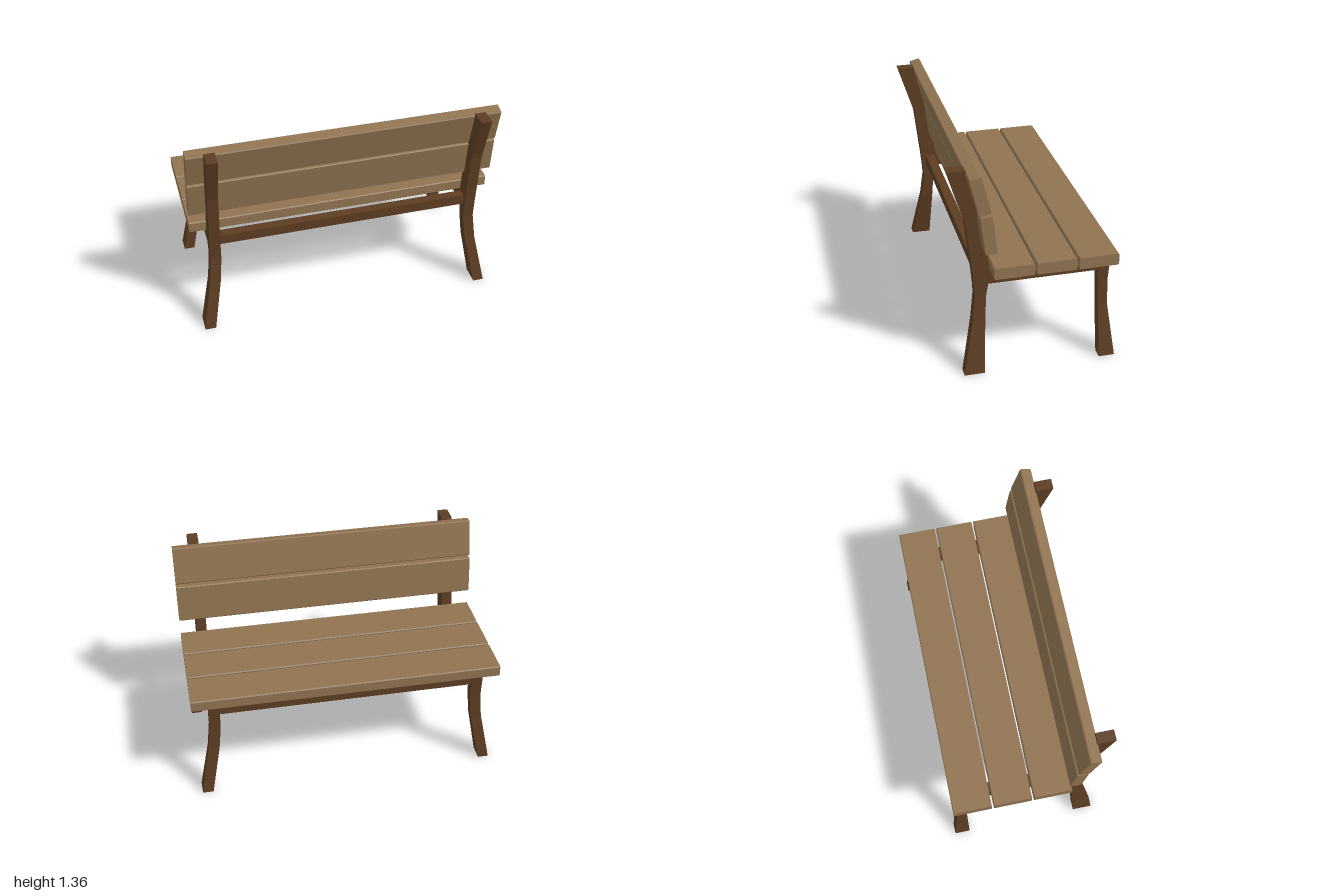
import * as THREE from 'three';

const darkWood = new THREE.MeshStandardMaterial({ color: 0x5c3d22, flatShading: true });
const lightWood = new THREE.MeshStandardMaterial({ color: 0x8f7350, flatShading: true });

// Leg thickness and sideways splay: [height, inner x]
const LEG_W = 0.07;
const splay = (y) => (y < 0.34 ? 0.84 + (0.34 - y) * 0.19 : y < 0.51 ? 0.823 + (0.51 - y) * 0.1 : 0.823);

// Rows of [y, zMin, zMax], from the foot upwards
const backLegRows = [
  [0, 0.322, 0.45], [0.34, 0.303, 0.382], [0.51, 0.293, 0.362],
  [0.59, 0.279, 0.367], [0.68, 0.27, 0.376], [1.02, 0.312, 0.415], [1.357, 0.409, 0.522],
];
const frontLegRows = [
  [0, -0.518, -0.417], [0.34, -0.478, -0.417], [0.51, -0.478, -0.417],
  [0.59, -0.484, -0.41], [0.676, -0.492, -0.41],
];

// Loft of rectangular cross-sections, closed at both ends
function legGeometry(rows, side) {
  const pos = [], index = [];
  for (const [y, z0, z1] of rows) {
    const a = side * splay(y), b = side * (splay(y) + LEG_W);
    const ring = [[a, z1], [b, z1], [b, z0], [a, z0]];
    if (side < 0) ring.reverse();
    for (const [x, z] of ring) pos.push(x, y, z);
  }
  for (let r = 0; r < rows.length - 1; r++) {
    for (let i = 0; i < 4; i++) {
      const a = r * 4 + i, b = r * 4 + (i + 1) % 4;
      index.push(a, b, b + 4, a, b + 4, a + 4);
    }
  }
  const t = (rows.length - 1) * 4;
  index.push(0, 2, 1, 0, 3, 2, t, t + 1, t + 2, t, t + 2, t + 3);
  const g = new THREE.BufferGeometry();
  g.setAttribute('position', new THREE.Float32BufferAttribute(pos, 3));
  g.setIndex(index);
  const flat = g.toNonIndexed();
  flat.computeVertexNormals();
  return flat;
}

// Plank running along x, with small chamfers on its long edges
function plankGeometry(width, thickness, length = 2, c = 0.006) {
  const w = width / 2, t = thickness / 2;
  const shape = new THREE.Shape([
    [-w + c, -t], [w - c, -t], [w, -t + c], [w, t - c],
    [w - c, t], [-w + c, t], [-w, t - c], [-w, -t + c],
  ].map(([x, y]) => new THREE.Vector2(x, y)));
  const g = new THREE.ExtrudeGeometry(shape, { depth: length, bevelEnabled: false });
  g.translate(0, 0, -length / 2);
  g.rotateY(Math.PI / 2);
  return g;
}

export function createModel() {
  const bench = new THREE.Group();
  bench.name = 'bench';

  const add = (name, geometry, material, x = 0, y = 0, z = 0, tilt = 0) => {
    const mesh = new THREE.Mesh(geometry, material);
    mesh.name = name;
    mesh.position.set(x, y, z);
    mesh.rotation.x = tilt;
    bench.add(mesh);
  };

  // Legs and side rails; the backrest stands on the +z side
  for (const side of [1, -1]) {
    const label = side > 0 ? 'left' : 'right';
    add(label + 'BackrestLeg', legGeometry(backLegRows, side), darkWood);
    add(label + 'SeatLeg', legGeometry(frontLegRows, side), darkWood);
    add(label + 'SideRail', new THREE.BoxGeometry(LEG_W - 0.002, 0.087, 0.695), darkWood,
      side * (0.823 + LEG_W / 2), 0.6325, -0.0675);
  }

  // Long rails under the seat
  const longRail = new THREE.BoxGeometry(1.65, 0.067, 0.06);
  add('backrestSideLongRail', longRail, darkWood, 0, 0.6425, 0.315);
  add('seatEdgeLongRail', longRail, darkWood, 0, 0.6425, -0.446);

  // Seat planks
  for (let i = 0; i < 3; i++) {
    add('seatPlank' + (i + 1), plankGeometry(0.25, 0.075), lightWood, 0, 0.713, 0.141 - i * 0.262);
  }

  // Backrest planks, leaning back
  add('lowerBackrestPlank', plankGeometry(0.073, 0.247), lightWood, 0, 0.975, 0.2965, 0.125);
  add('upperBackrestPlank', plankGeometry(0.073, 0.245), lightWood, 0, 1.232, 0.346, 0.25);

  return bench;
}
